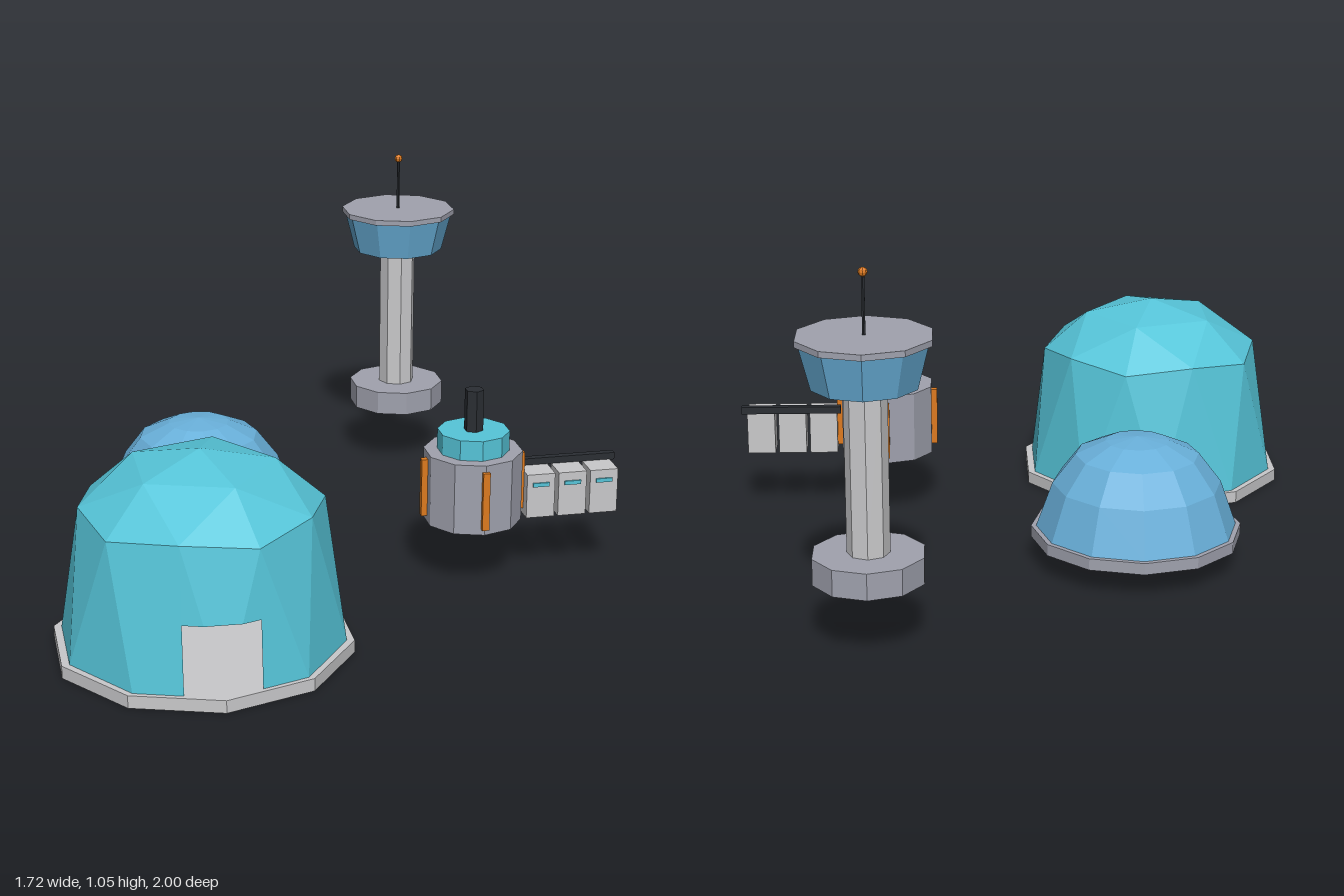
import * as THREE from 'three';

const flat = (name, color, side = THREE.FrontSide) => {
  const m = new THREE.MeshStandardMaterial({ color, side, flatShading: true });
  m.name = name;
  return m;
};

export function createModel() {
  const lightGrey = flat('light grey', 0xc9c9cb);
  const steel = flat('steel grey', 0xa0a2ae);
  const teal = flat('teal', 0x56c5d9, THREE.DoubleSide);
  const blue = flat('blue', 0x69b0da, THREE.DoubleSide);
  const black = flat('black', 0x2a2e33);
  const orange = flat('orange', 0xdd7a1e);

  const model = new THREE.Group();
  const group = (name, x, z) => {
    const g = new THREE.Group();
    g.name = name;
    g.position.set(x, 0, z);
    model.add(g);
    return g;
  };
  const add = (parent, name, geometry, material, x = 0, y = 0, z = 0) => {
    const m = new THREE.Mesh(geometry, material);
    m.name = name;
    m.position.set(x, y, z);
    parent.add(m);
    return m;
  };
  // Upright prism between two heights
  const prism = (parent, name, material, sides, y0, y1, rBottom, rTop = rBottom) =>
    add(parent, name, new THREE.CylinderGeometry(rTop, rBottom, y1 - y0, sides), material, 0, (y0 + y1) / 2, 0);
  const box = (parent, name, material, w, h, d, x, y, z) =>
    add(parent, name, new THREE.BoxGeometry(w, h, d), material, x, y, z);

  // Large geodesic dome on a ten-sided slab
  const hall = group('geodesicDome', -0.455, 0.582);
  prism(hall, 'domeSlab', lightGrey, 10, 0, 0.037, 0.428).scale.z = 0.977;
  add(hall, 'domeShell', geodesicShell(), teal);

  // Small round dome with a door panel
  const small = group('roundDome', -0.344, -0.224);
  prism(small, 'roundDomeSlab', steel, 12, 0.075, 0.11, 0.313);
  const profile = [[0.298, 0.11], [0.25, 0.245], [0.183, 0.333], [0.094, 0.374], [0, 0.387]];
  add(small, 'roundDomeShell',
    new THREE.LatheGeometry(profile.map(([r, y]) => new THREE.Vector2(r, y)), 12), blue);
  box(small, 'doorPanel', lightGrey, 0.165, 0.13, 0.006, 0, 0.175, 0.298);

  // Generator with chimney and four ribs
  const plant = group('generator', 0.406, 0.264);
  prism(plant, 'generatorBody', steel, 10, 0.19, 0.407, 0.147);
  prism(plant, 'generatorCap', teal, 10, 0.407, 0.468, 0.107);
  prism(plant, 'chimney', black, 6, 0.468, 0.594, 0.029);
  for (let i = 0; i < 4; i++) {
    const a = i * Math.PI / 2;
    box(plant, 'rib', orange, 0.021, 0.178, 0.026, Math.sin(a) * 0.145, 0.298, Math.cos(a) * 0.145)
      .rotation.y = a;
  }

  // Row of cabinets hung from a rail
  const row = group('cabinetRow', 0.705, 0.264);
  box(row, 'rail', black, 0.31, 0.022, 0.022, 0, 0.337, -0.047);
  for (let i = -1; i <= 1; i++) {
    box(row, 'cabinet', lightGrey, 0.086, 0.137, 0.082, i * 0.098 - 0.001, 0.259, 0.004);
    box(row, 'cabinetLight', teal, 0.05, 0.012, 0.006, i * 0.098 - 0.001, 0.295, 0.047);
  }

  // Control tower
  const tower = group('controlTower', 0.428, -0.812);
  prism(tower, 'towerFoot', steel, 10, 0.19, 0.266, 0.158);
  prism(tower, 'towerShaft', lightGrey, 8, 0.266, 0.735, 0.059);
  prism(tower, 'towerCab', blue, 10, 0.735, 0.856, 0.147, 0.178);
  prism(tower, 'towerRoof', steel, 10, 0.856, 0.873, 0.188);
  prism(tower, 'antenna', black, 6, 0.873, 1.04, 0.005);
  add(tower, 'beacon', new THREE.SphereGeometry(0.013, 8, 6), orange, 0, 1.042, 0);

  return model;
}

// Five-fold geodesic shell with a rectangular doorway in its front
function geodesicShell() {
  const at = (deg, r, y) => {
    const a = THREE.MathUtils.degToRad(deg);
    return new THREE.Vector3(Math.sin(a) * r, y, Math.cos(a) * r);
  };
  const upper = (k) => at(18 + 72 * k, 0.211, 0.547);
  const low = (k) => at(18 + 72 * k, 0.35, 0.424);
  const high = (k) => at(54 + 72 * k, 0.338, 0.445);
  const foot = (k) => at(36 * k, 0.405, 0.037);
  const apex = new THREE.Vector3(0, 0.591, 0);
  const centre = new THREE.Vector3(0, 0.2, 0);
  const out = [];
  const tri = (a, b, c) => {
    const n = b.clone().sub(a).cross(c.clone().sub(a));
    const mid = a.clone().add(b).add(c).divideScalar(3).sub(centre);
    for (const p of n.dot(mid) < 0 ? [a, c, b] : [a, b, c]) out.push(p.x, p.y, p.z);
  };
  for (let k = 0; k < 5; k++) {
    // Crown
    tri(apex, upper(k), upper(k + 1));
    tri(upper(k), upper(k + 1), high(k));
    tri(upper(k), low(k), high(k));
    tri(upper(k + 1), high(k), low(k + 1));
    // Skirt, leaving out the three faces that hold the doorway
    if (k !== 0) tri(low(k), foot(2 * k), foot(2 * k + 1));
    tri(low(k), high(k), foot(2 * k + 1));
    if (k !== 4) {
      tri(high(k), foot(2 * k + 1), foot(2 * k + 2));
      tri(high(k), low(k + 1), foot(2 * k + 2));
    }
  }
  // Faces around the doorway, each kept in its own plane
  const H = high(-1), L = low(0), F = foot(0), top = 0.23, w = 0.106;
  const onPlane = (a, b, c, x, y) => {
    const n = b.clone().sub(a).cross(c.clone().sub(a));
    return new THREE.Vector3(x, y, a.z - (n.x * (x - a.x) + n.y * (y - a.y)) / n.z);
  };
  const t = (p) => F.clone().lerp(p, (top - F.y) / (p.y - F.y));
  for (const [p, side] of [[H, -1], [L, 1]]) {
    const f = foot(side);
    const corner = onPlane(p, f, F, side * w, top);
    const sill = onPlane(p, f, F, side * w, F.y);
    tri(p, f, sill);
    tri(p, sill, corner);
    tri(p, corner, t(p));
  }
  tri(H, t(H), t(L));
  tri(H, t(L), L);

  const g = new THREE.BufferGeometry();
  g.setAttribute('position', new THREE.Float32BufferAttribute(out, 3));
  g.computeVertexNormals();
  return g;
}
